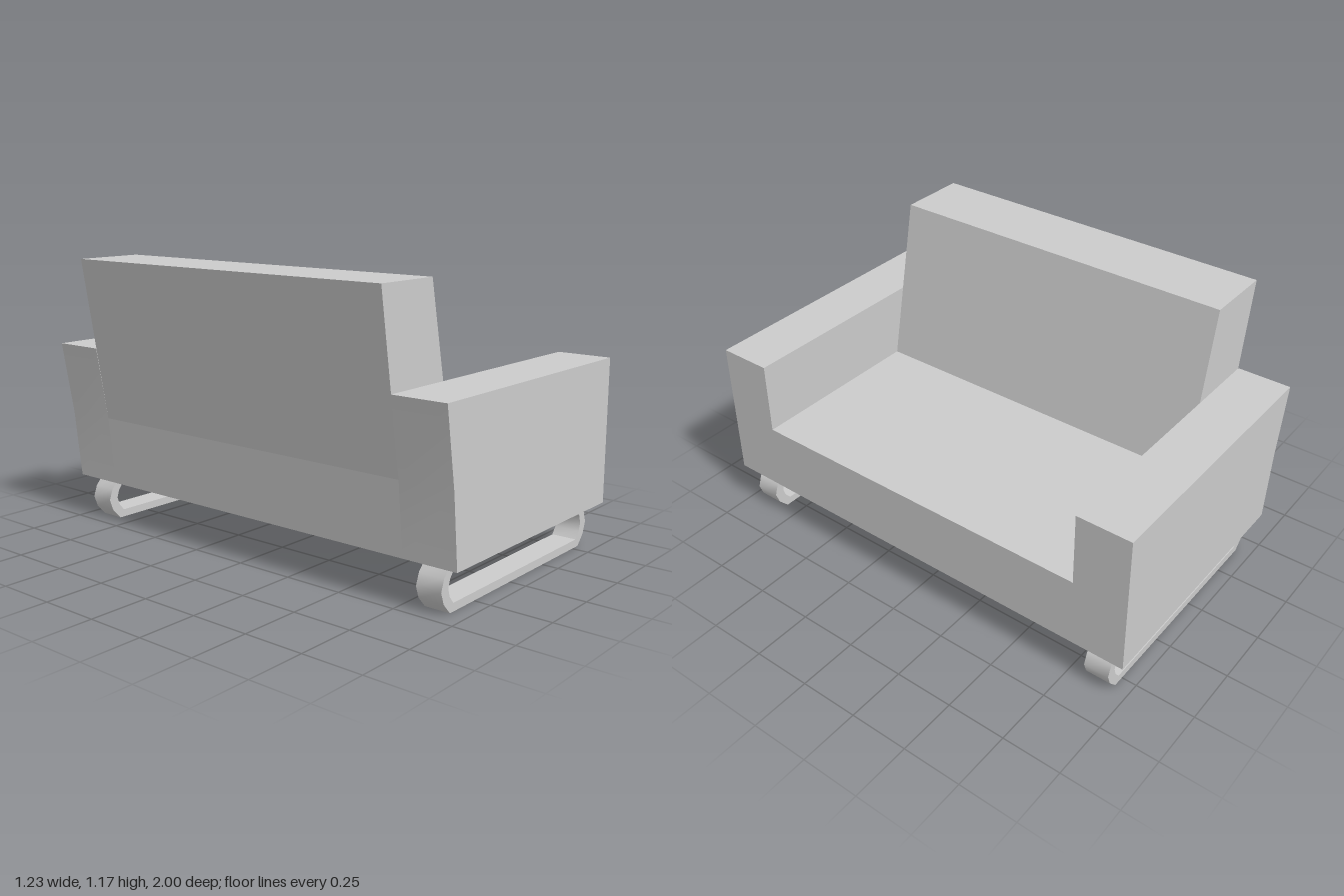
import * as THREE from 'three';
import { toCreasedNormals } from 'three/addons/utils/BufferGeometryUtils.js';

const material = new THREE.MeshStandardMaterial({ color: 0xcccccc });

// Side profile (x, y) extruded from z0 to z1
function slab(name, points, z0, z1, hole) {
  const toVectors = (list) => list.map(([x, y]) => new THREE.Vector2(x, y));
  const shape = new THREE.Shape(toVectors(points));
  if (hole) shape.holes.push(new THREE.Path(toVectors(hole)));
  const geometry = new THREE.ExtrudeGeometry(shape, { depth: z1 - z0, bevelEnabled: false });
  geometry.translate(0, 0, z0);
  const mesh = new THREE.Mesh(toCreasedNormals(geometry, 0.7), material);
  mesh.name = name;
  return mesh;
}

// Elongated loop with faceted ends; insets are measured from the end and the base
function runnerLoop(xMin, xMax, yMin, yMax, corner, mid) {
  const h = yMax - yMin;
  const end = [[corner, 0], [mid, h * 0.24], [0, h * 0.5], [mid, h * 0.76], [corner, h]];
  const right = end.map(([dx, dy]) => [xMax - dx, yMin + dy]);
  const left = end.map(([dx, dy]) => [xMin + dx, yMin + dy]).reverse();
  return [...right, ...left];
}

export function createModel() {
  const group = new THREE.Group();
  group.name = 'sofa';

  const front = 0.615, bottom = 0.185, seatY = 0.48, armY = 0.79, topY = 1.17;
  const inner = 0.77;

  // Seat block between the arms
  group.add(slab('seat', [
    [-0.475, bottom], [front, bottom], [front, seatY], [-0.505, seatY],
  ], -inner, inner));

  // Leaning backrest
  group.add(slab('backrest', [
    [-0.505, seatY], [-0.175, seatY], [-0.32, topY], [-0.617, topY],
  ], -inner, inner));

  // Arms with a kinked rear edge
  const armProfile = [
    [-0.475, bottom], [front, bottom], [front, armY], [-0.557, armY], [-0.505, seatY],
  ];
  group.add(slab('leftArm', armProfile, -1, -inner));
  group.add(slab('rightArm', armProfile, inner, 1));

  // Loop-shaped runners under each arm
  const outerLoop = runnerLoop(-0.465, 0.604, 0, bottom, 0.058, 0.017);
  const innerLoop = runnerLoop(-0.421, 0.56, 0.033, 0.159, 0.034, 0.01);
  group.add(slab('leftRunner', outerLoop, -0.936, -0.829, innerLoop));
  group.add(slab('rightRunner', outerLoop, 0.823, 0.93, innerLoop));

  return group;
}
